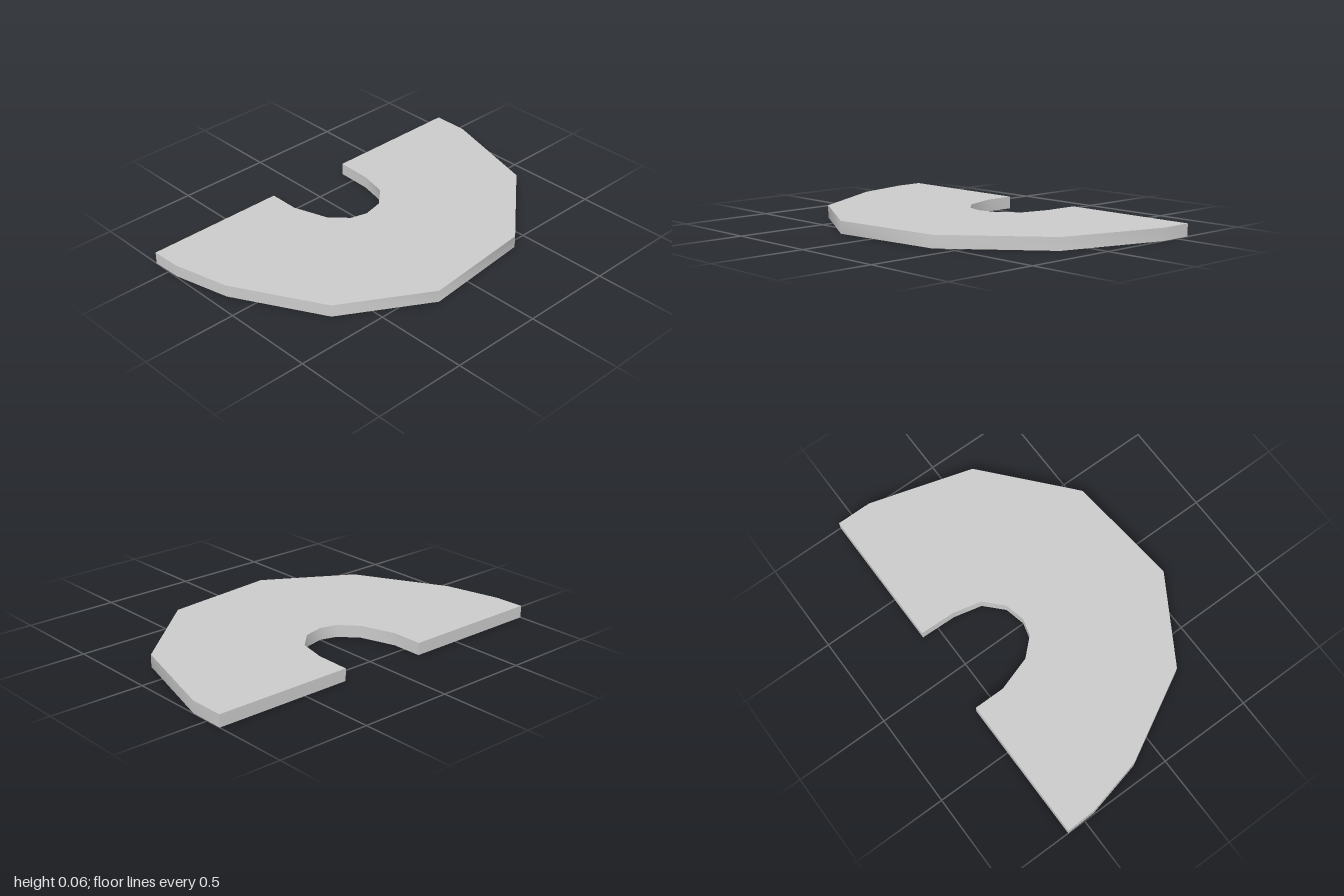
import * as THREE from 'three';
import { toCreasedNormals } from 'three/addons/utils/BufferGeometryUtils.js';

const THICKNESS = 0.065;

// Plan outline as [x, z]: outer rim from back to front, then the notch from front to back
const outerRim = [
  [-0.59, -1], [-0.4, -1], [0.15, -0.84], [0.54, -0.39], [0.6, 0.22],
  [0.33, 0.67], [-0.14, 0.925], [-0.44, 0.995], [-0.6, 1],
];
const notch = [
  [-0.6, 0.235], [-0.435, 0.235], [-0.25, 0.175], [-0.16, 0.09], [-0.135, 0],
  [-0.16, -0.11], [-0.25, -0.205], [-0.4, -0.24], [-0.59, -0.245],
];

export function createModel() {
  const group = new THREE.Group();
  group.name = 'halfRingSlab';

  // Shape y becomes -z once the slab is laid flat
  const outline = [...outerRim, ...notch].map(([x, z]) => new THREE.Vector2(x, -z));
  const slab = new THREE.ExtrudeGeometry(new THREE.Shape(outline), {
    depth: THICKNESS,
    bevelEnabled: false,
  });
  slab.rotateX(-Math.PI / 2);

  // Walls shade smoothly round the rim and notch; top, bottom and ends stay sharp
  const mesh = new THREE.Mesh(
    toCreasedNormals(slab, THREE.MathUtils.degToRad(50)),
    new THREE.MeshStandardMaterial({ color: 0xcccccc }),
  );
  mesh.name = 'slab';
  group.add(mesh);
  return group;
}
